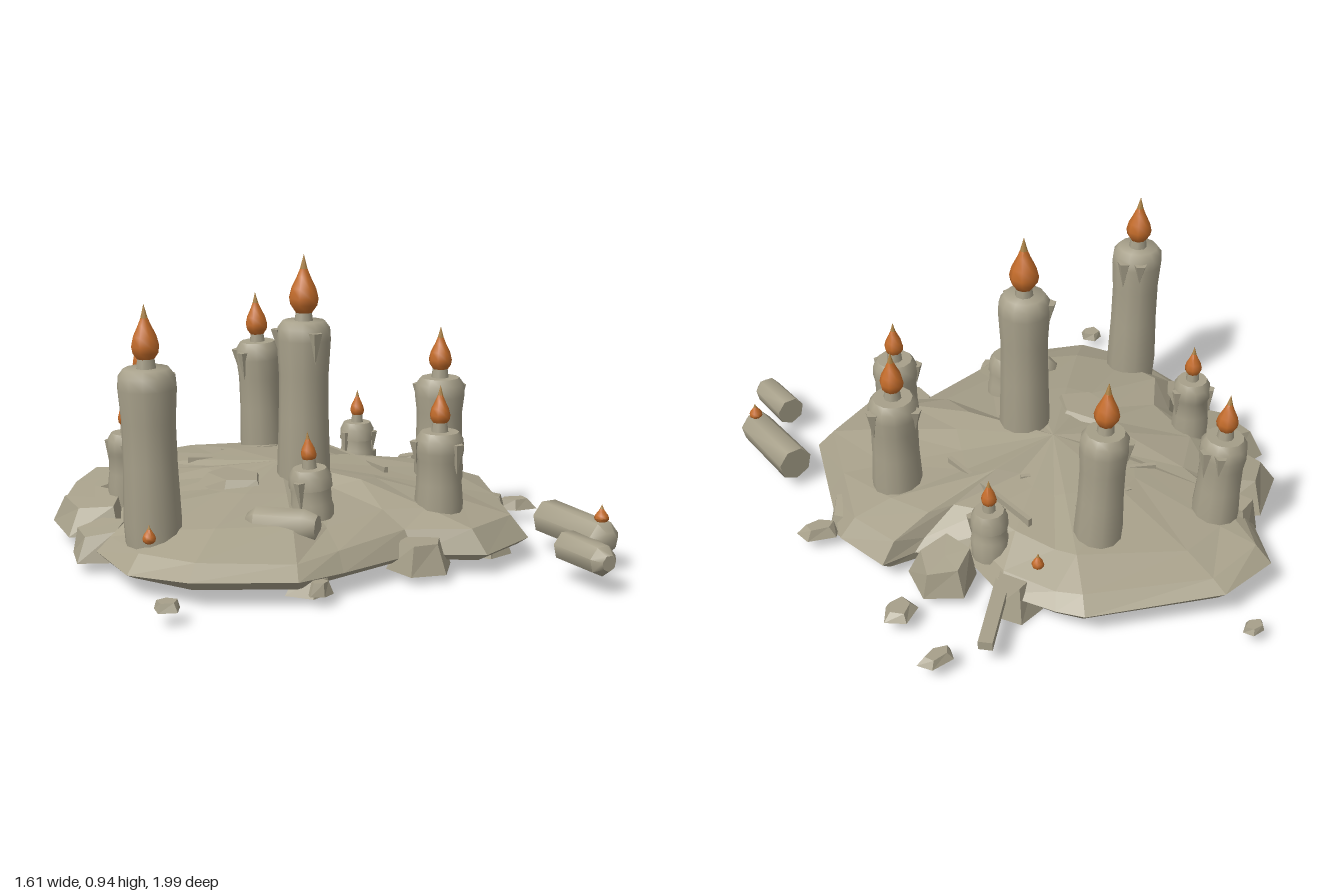
import * as THREE from 'three';
import { toCreasedNormals } from 'three/addons/utils/BufferGeometryUtils.js';

const wax = new THREE.MeshStandardMaterial({ color: 0xa7a08a });
const stone = new THREE.MeshStandardMaterial({ color: 0xa7a08a, flatShading: true });
const fire = new THREE.MeshStandardMaterial({ color: 0xc46c2a });
const ember = new THREE.MeshStandardMaterial({ color: 0xa97f42 });

let seed = 7;
const rand = () => (seed = (seed * 16807) % 2147483647) / 2147483647;

function add(parent, name, geometry, material, x = 0, y = 0, z = 0) {
  const mesh = new THREE.Mesh(geometry, material);
  mesh.name = name;
  mesh.position.set(x, y, z);
  parent.add(mesh);
  return mesh;
}

// Turned shape from [radius, height] pairs, with crisp rims
function lathe(pairs, sides) {
  const points = pairs.map(([r, y]) => new THREE.Vector2(r, y));
  return toCreasedNormals(new THREE.LatheGeometry(points, sides), 0.95);
}

// Teardrop flame with a paler tip, standing on its origin
function flame(parent, x, y, z, h, r) {
  const body = lathe([[0, 0], [r * 0.55, h * 0.05], [r * 0.92, h * 0.18], [r, h * 0.29],
    [r * 0.84, h * 0.45], [r * 0.46, h * 0.64], [r * 0.26, h * 0.76]], 8);
  add(parent, 'flame', body, fire, x, y, z);
  add(parent, 'flameTip', lathe([[r * 0.26, h * 0.76], [r * 0.14, h * 0.87], [0, h]], 8), ember, x, y, z);
}

// Standing candle: body, wick, flame and wax drips at the given angles
function candle(parent, [x, z, base, top, tip, r, lean, drips]) {
  const group = new THREE.Group();
  group.name = 'candle';
  group.position.set(x, base - 0.05, z);
  group.rotation.z = lean;
  parent.add(group);
  const h = top - base + 0.05;
  add(group, 'candleBody', lathe([[0, 0], [r * 0.96, 0], [r, 0.07], [r * 0.93, h * 0.45],
    [r * 0.92, h * 0.7], [r, h - 0.06], [r * 0.97, h - 0.022], [r * 0.78, h], [0, h]], 12), wax);
  add(group, 'wick', new THREE.CylinderGeometry(r * 0.3, r * 0.38, 0.05, 8), wax, 0, h + 0.008, 0);
  const f = (tip - top) - 0.015;
  flame(group, 0, h + 0.015, 0, f, f * 0.25);
  drips.forEach((a, i) => {
    const len = 0.1 - 0.025 * (i % 2);
    const d = add(group, 'waxDrip', new THREE.ConeGeometry(r * 0.28, len, 5), stone,
      Math.cos(a) * r * 0.95, h - 0.03 - len / 2, Math.sin(a) * r * 0.95);
    d.rotation.x = Math.PI;
  });
}

// Broken mound: an irregular outline lofted through rings, its edge lifted at the back
function mound(parent) {
  const outline = [[-0.3, -0.83], [-0.09, -0.85], [0.31, -0.66], [0.36, -0.58], [0.44, -0.4], [0.43, -0.2],
    [0.55, -0.09], [0.66, -0.07], [0.7, 0.12], [0.6, 0.36], [0.5, 0.6], [0.29, 0.68], [0.1, 0.57],
    [-0.18, 0.63], [-0.35, 0.67], [-0.63, 0.53], [-0.74, 0.34], [-0.75, 0.12], [-0.6, -0.04],
    [-0.6, -0.3], [-0.44, -0.48], [-0.42, -0.62]];
  // scale, height, jitter, lift at the back
  const rings = [[0, 0.048, 0, 0], [0.96, 0.048, 0.004, 0.02], [1, 0.07, 0.01, 0.03], [0.93, 0.128, 0.015, 0.01],
    [0.76, 0.172, 0.015, 0], [0.4, 0.215, 0.018, 0], [0, 0.245, 0, 0]];
  const n = outline.length, cx = -0.05, cz = -0.03, pos = [], index = [];
  rings.forEach(([s, y, j, back]) => outline.forEach(([x, z]) => {
    const k = s < 0.9 ? s * (0.95 + rand() * 0.1) : s;
    const lift = back * Math.max(0, -z - 0.4) / 0.45;
    pos.push(cx + (x - cx) * k, y + lift + (rand() - 0.5) * 2 * j, cz + (z - cz) * k);
  }));
  for (let r = 0; r < rings.length - 1; r++) {
    for (let i = 0; i < n; i++) {
      const a = r * n + i, b = r * n + (i + 1) % n;
      if (rings[r][0]) index.push(a, a + n, b);
      if (rings[r + 1][0]) index.push(b, a + n, b + n);
    }
  }
  const g = new THREE.BufferGeometry();
  g.setAttribute('position', new THREE.Float32BufferAttribute(pos, 3));
  g.setIndex(index);
  const flat = g.toNonIndexed();
  flat.computeVertexNormals();
  add(parent, 'mound', flat, stone);
}

// Angular five-sided slab of given full size, its top tilted by slope along its own x
function slab(parent, name, [x, y, z, w, h, d, turn, slope = 0]) {
  const g = new THREE.CylinderGeometry(0.36, 0.52, 1, 5);
  const p = g.attributes.position;
  for (let i = 0; i < p.count; i++) {
    const k = 1 + 0.12 * Math.sin(p.getX(i) * 9 + x * 20 + p.getZ(i) * 7);
    const tilt = p.getY(i) > 0 ? slope * p.getX(i) : 0;
    p.setXYZ(i, p.getX(i) * k, p.getY(i) + tilt, p.getZ(i) * k);
  }
  g.scale(w, h, d);
  g.computeVertexNormals();
  add(parent, name, g, stone, x, y, z).rotation.y = turn;
}

export function createModel() {
  seed = 7;
  const model = new THREE.Group();
  model.name = 'candleMound';
  mound(model);

  // Standing candles: x, z, base, top, flame tip, radius, lean, drip angles
  [
    [-0.613, 0.24, 0.17, 0.65, 0.84, 0.088, 0.025, [-0.3, -1]],
    [-0.035, 0.11, 0.21, 0.73, 0.94, 0.086, 0, [1.6, 3.8]],
    [0.105, -0.46, 0.19, 0.57, 0.745, 0.078, 0.05, [2.8, 3.9]],
    [0.455, 0.15, 0.18, 0.51, 0.68, 0.082, 0, [0, 4.2]],
    [0.255, 0.46, 0.165, 0.41, 0.555, 0.076, 0, [1.3, 3.6]],
    [-0.28, -0.58, 0.17, 0.45, 0.605, 0.077, 0.07, [0, -0.7, 2.3]],
    [-0.525, -0.185, 0.17, 0.36, 0.49, 0.064, 0, [0.1, 2, 4]],
    [-0.135, 0.36, 0.18, 0.32, 0.435, 0.067, 0.07, [2.6]],
    [0.38, -0.265, 0.16, 0.285, 0.4, 0.06, 0, [2.9, 0.8]],
  ].forEach((c) => candle(model, c));

  // Fallen candles in front: x, back end, length, radius
  [[0.635, 0.52, 0.31, 0.06], [0.495, 0.8, 0.2, 0.05]].forEach(([x, z, len, r]) => {
    const g = lathe([[0, 0], [r, 0], [r * 0.95, len - 0.03], [r * 0.5, len], [0, len]], 7);
    add(model, 'fallenCandle', g, wax, x, 0.1, z).rotation.x = Math.PI / 2;
  });

  // Loose small flames
  flame(model, 0.64, 0.145, 0.78, 0.06, 0.023);
  flame(model, -0.66, 0.14, 0.32, 0.06, 0.021);
  flame(model, 0.33, 0.15, -0.45, 0.06, 0.02);

  // Half-buried stump and protruding stick
  const stump = add(model, 'stump', lathe([[0, -0.11], [0.04, -0.11], [0.056, -0.07],
    [0.054, 0.08], [0.03, 0.11], [0, 0.11]], 8), wax, -0.275, 0.172, 0.425);
  stump.rotation.set(0, -0.78, Math.PI / 2);
  const stick = add(model, 'stick', new THREE.BoxGeometry(0.32, 0.03, 0.045), stone, 0.5, 0.08, -0.46);
  stick.rotation.y = 0.76;

  // Slabs broken from the rim: x, y, z, width, height, depth, turn, slope
  [
    [-0.63, 0.1, -0.21, 0.24, 0.1, 0.34, 0.1, 0.5], [-0.52, 0.1, -0.44, 0.32, 0.1, 0.24, 0.55, 0.5],
    [0.52, 0.09, -0.22, 0.22, 0.1, 0.22, 0.6, -0.5], [-0.7, 0.08, 0.03, 0.2, 0.09, 0.2, 0.2, 0.5],
    [0.11, 0.07, 0.59, 0.2, 0.09, 0.19, 0.4, 0], [-0.28, 0.045, 0.61, 0.14, 0.05, 0.14, 0.9, 0],
    [0.6, 0.07, 0.2, 0.2, 0.08, 0.2, 0.2, -0.5], [0.42, 0.045, 0.5, 0.18, 0.07, 0.15, 0.8, 0],
    [0.38, 0.06, -0.4, 0.19, 0.12, 0.18, 0.2, 0], [-0.35, 0.11, -0.58, 0.16, 0.12, 0.2, 0.5, 0],
    [-0.25, 0.205, 0.05, 0.22, 0.07, 0.3, 0.3, 0],
  ].forEach((s) => slab(model, 'rimSlab', s));

  // Thin slivers standing out of the crest: x, z, length, turn
  [[0.265, -0.1, 0.42, 1.62], [0, -0.36, 0.2, -0.15], [-0.05, -0.22, 0.45, -0.5]]
    .forEach(([x, z, len, turn]) => {
      add(model, 'sliver', new THREE.BoxGeometry(len, 0.04, 0.015), stone, x, 0.195, z).rotation.y = turn;
    });

  // Scattered debris
  [
    [-0.1, 0.055, -0.97, 0.08, 0.02, 0.06, 0], [0.74, 0.06, -0.5, 0.12, 0.025, 0.07, 0],
    [0.72, 0.06, -0.26, 0.12, 0.025, 0.1, 0.5], [0.72, 0.06, 0.215, 0.14, 0.035, 0.08, -0.4],
    [-0.73, 0.055, 0.61, 0.08, 0.025, 0.08, 0.3], [-0.28, 0.05, 0.67, 0.08, 0.04, 0.06, 0],
  ].forEach((s) => slab(model, 'debris', s));
  return model;
}
